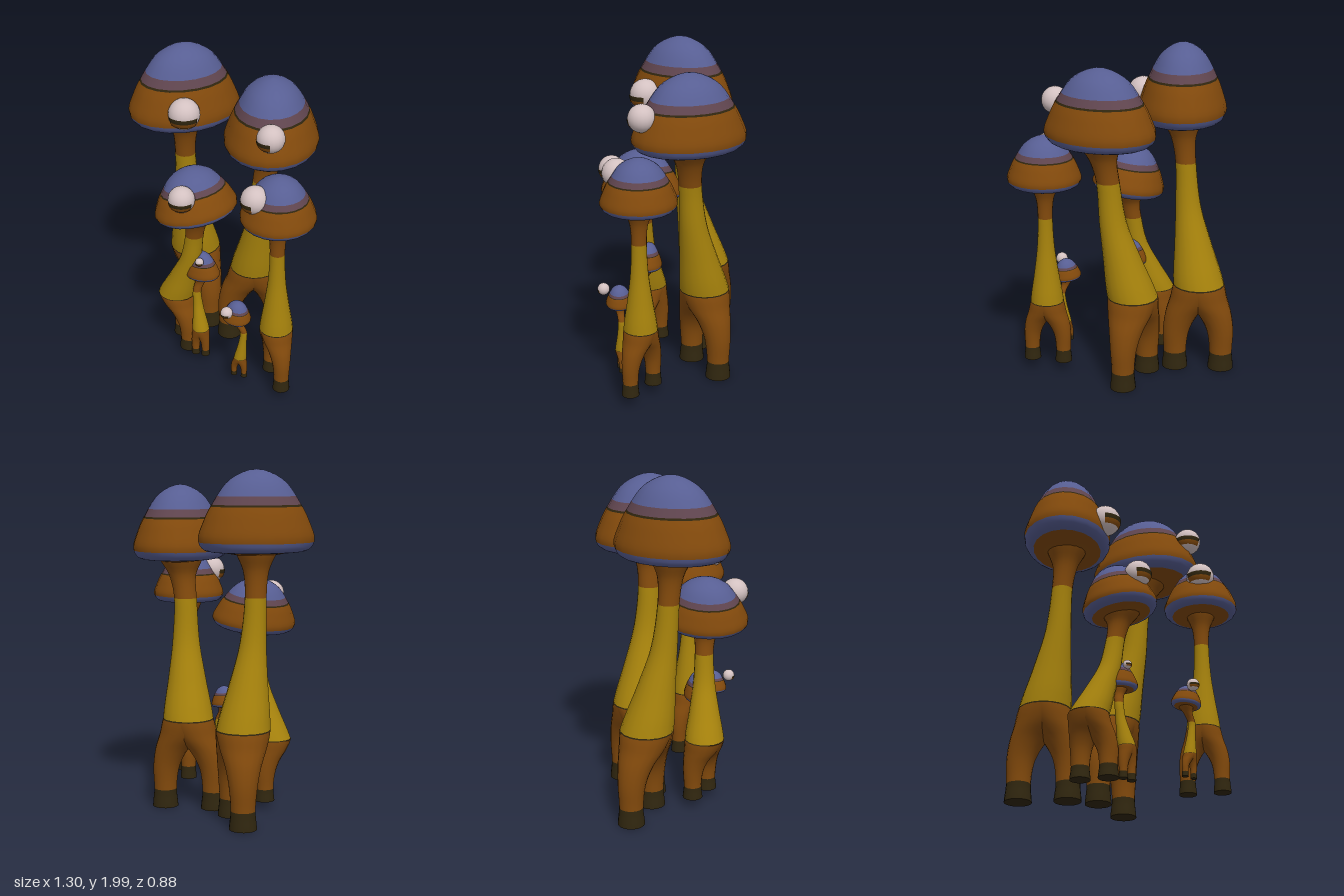
import * as THREE from 'three';

const mat = (name, color) => Object.assign(new THREE.MeshStandardMaterial({ color }), { name });
const mix = THREE.MathUtils.lerp;

const M = {
  blue: mat('cap blue', 0x575e93),
  mauve: mat('cap mauve', 0x60454f),
  brown: mat('brown', 0x834a0c),
  yellow: mat('stem yellow', 0xa6820c),
  dark: mat('dark hoof', 0x30260f),
  white: mat('eye white', 0xd3c1c1),
};

function add(parent, name, geo, material) {
  const m = new THREE.Mesh(geo, material);
  m.name = name;
  parent.add(m);
  return m;
}

function group(parent, name) {
  const g = new THREE.Group();
  g.name = name;
  parent.add(g);
  return g;
}

// Ring [x, y, z, radius] between rings p and q: height, sideways shift and radius blend separately
const between = (p, q, up, out, wide) =>
  [mix(p[0], q[0], out), mix(p[1], q[1], up), mix(p[2], q[2], out), mix(p[3], q[3], wide)];

// Smooth tube through rings listed top to bottom, between ring indices a and b
function loft(rings, a, b, sides = 18) {
  const path = new THREE.CatmullRomCurve3(rings.map(r => new THREE.Vector3(r[0], r[1], r[2])));
  const size = new THREE.SplineCurve(rings.map((r, i) => new THREE.Vector2(r[3], i)));
  const rows = Math.max(2, Math.ceil((b - a) * 5)), pos = [], idx = [];
  for (let i = 0; i <= rows; i++) {
    const t = (a + (b - a) * i / rows) / (rings.length - 1);
    const c = path.getPoint(t), r = size.getPoint(t).x;
    for (let j = 0; j < sides; j++) {
      const ang = j / sides * Math.PI * 2;
      pos.push(c.x + Math.cos(ang) * r, c.y, c.z + Math.sin(ang) * r);
      if (i < rows) {
        const p = i * sides + j, q = i * sides + (j + 1) % sides;
        idx.push(p, q, p + sides, q, q + sides, p + sides);
      }
    }
  }
  const g = new THREE.BufferGeometry();
  g.setAttribute('position', new THREE.Float32BufferAttribute(pos, 3));
  g.setIndex(idx);
  g.computeVertexNormals();
  return g;
}

// Cap outline from underside to crown; the last point mirrors the crown so that it stays round
const outline = new THREE.SplineCurve([
  [0.2, -0.1], [0.58, -0.05], [0.88, -0.02], [1, 0.12], [0.91, 0.34],
  [0.77, 0.55], [0.47, 0.86], [0, 1], [-0.47, 0.86],
].map(p => new THREE.Vector2(...p)));

// Turned band of the cap between outline positions a and b
function capBand(parent, name, material, a, b) {
  const n = Math.ceil((b - a) * 4), pts = [];
  for (let i = 0; i <= n; i++) {
    const p = outline.getPoint(mix(a, b, i / n) / 8);
    pts.push(p.setX(Math.max(0, p.x)));
  }
  add(parent, name, new THREE.LatheGeometry(pts, 20), material);
}

function makeCap(parent, at, [width, height, depth], yaw, tilt) {
  const cap = group(parent, 'cap');
  cap.position.set(...at);
  cap.rotation.z = tilt;
  const shell = group(cap, 'capShell');
  shell.rotation.y = yaw;
  shell.scale.set(width, height, depth);
  capBand(shell, 'capUnderside', M.brown, 0, 1.6);
  capBand(shell, 'capRim', M.blue, 1.6, 2.8);
  capBand(shell, 'capSide', M.brown, 2.8, 4.92);
  capBand(shell, 'capLine', M.dark, 4.92, 5.02);
  capBand(shell, 'capMauve', M.mauve, 5.02, 5.36);
  capBand(shell, 'capCrown', M.blue, 5.36, 7);
}

// Ball eye with a dark pupil strip and a brown lower lid
function makeEye(parent, at, r, yaw) {
  const eye = group(parent, 'eye');
  eye.position.set(...at);
  eye.rotation.y = yaw;
  const patch = (from, to) =>
    new THREE.SphereGeometry(r * 1.03, 14, 4, Math.PI / 2 - 1, 2, from, to - from);
  add(eye, 'eyeball', new THREE.SphereGeometry(r, 20, 14), M.white);
  add(eye, 'pupil', patch(1.55, 1.85), M.dark);
  add(eye, 'lowerLid', patch(1.85, 2.2), M.brown);
}

// Leg that leaves the waist and ends in a hoof
function makeLeg(parent, waist, x, y, z) {
  const r = waist[3] * 0.51, foot = [x, y, z, r];
  const rings = [
    waist, between(waist, foot, 0.16, 0.27, 0.25), between(waist, foot, 0.34, 0.7, 0.68),
    between(waist, foot, 0.54, 0.95, 0.97), between(waist, foot, 0.8, 1, 1.12), foot,
  ];
  add(parent, 'leg', loft(rings, 0, 4), M.brown);
  add(parent, 'hoof', loft(rings, 4, 5), M.dark);
  const sole = add(parent, 'sole', new THREE.CircleGeometry(r, 18), M.dark);
  sole.rotation.x = Math.PI / 2;
  sole.position.set(x, y, z);
}

// Whole creature; neck and waist are rings, feet stand at a centre plus and minus a stride
function makeMushroom(root, name, { cap, size, yaw = 0, tilt = 0, eye, eyeR, look, neck, waist, feet, stride }) {
  const g = group(root, name);
  makeCap(g, cap, size, yaw, tilt);
  makeEye(g, eye, eyeR, look);
  const top = [cap[0], cap[1], cap[2], neck[3] * 2];
  const rings = [
    top, between(top, neck, 0.45, 0.4, 0.8), neck,
    between(neck, waist, 0.35, 0.2, 0.15), between(neck, waist, 0.65, 0.55, 0.52), waist,
  ];
  add(g, 'neck', loft(rings, 0, 2), M.brown);
  add(g, 'stem', loft(rings, 2, 4.97), M.yellow);
  add(g, 'waistLine', loft(rings, 4.97, 5), M.dark);
  for (const s of [1, -1]) {
    makeLeg(g, waist, feet[0] + s * stride[0], feet[1], feet[2] + s * stride[1]);
  }
}

export function createModel() {
  const root = new THREE.Group();
  root.name = 'mushroomFamily';
  makeMushroom(root, 'tallMushroom', {
    cap: [-0.372, 1.555, -0.045], size: [0.26, 0.445, 0.335], yaw: -0.53,
    eye: [-0.215, 1.68, 0.16], eyeR: 0.092, look: 0.55,
    neck: [-0.39, 1.28, -0.065, 0.062], waist: [-0.425, 0.54, -0.195, 0.155],
    feet: [-0.41, 0.01, -0.225], stride: [0.122, 0.07],
  });
  makeMushroom(root, 'broadMushroom', {
    cap: [0.193, 1.49, -0.12], size: [0.273, 0.42, 0.342], yaw: 0.53,
    eye: [0.36, 1.69, 0.135], eyeR: 0.08, look: -0.45,
    neck: [0.145, 1.24, -0.125, 0.068], waist: [0.025, 0.54, -0.21, 0.15],
    feet: [0.01, 0.01, -0.215], stride: [0.12, -0.085],
  });
  makeMushroom(root, 'leaningMushroom', {
    cap: [-0.12, 1.075, 0.18], size: [0.22, 0.29, 0.252], yaw: -0.4, tilt: 0.17,
    eye: [-0.095, 1.255, 0.355], eyeR: 0.078, look: 0.45,
    neck: [-0.15, 0.9, 0.17, 0.055], waist: [-0.305, 0.42, 0.155, 0.115],
    feet: [-0.257, 0.06, 0.135], stride: [0.062, 0.05],
  });
  makeMushroom(root, 'middleMushroom', {
    cap: [0.43, 1.195, 0.15], size: [0.217, 0.29, 0.22], yaw: 0.5,
    eye: [0.36, 1.375, 0.28], eyeR: 0.082, look: -0.65,
    neck: [0.43, 0.98, 0.15, 0.044], waist: [0.43, 0.45, 0.145, 0.1],
    feet: [0.433, 0.07, 0.14], stride: [0.078, 0.06],
  });
  makeMushroom(root, 'smallMushroom', {
    cap: [-0.117, 0.615, 0.145], size: [0.118, 0.162, 0.09], tilt: 0.05,
    eye: [-0.09, 0.745, 0.205], eyeR: 0.026, look: 0.3,
    neck: [-0.13, 0.51, 0.18, 0.026], waist: [-0.09, 0.25, 0.2, 0.052],
    feet: [-0.09, 0.06, 0.205], stride: [0.03, -0.01],
  });
  makeMushroom(root, 'tinyMushroom', {
    cap: [0.24, 0.52, 0.285], size: [0.088, 0.125, 0.08], tilt: -0.1,
    eye: [0.237, 0.615, 0.378], eyeR: 0.036, look: -0.1,
    neck: [0.282, 0.43, 0.27, 0.021], waist: [0.262, 0.235, 0.275, 0.038],
    feet: [0.256, 0.1, 0.278], stride: [0.031, -0.008],
  });
  return root;
}
